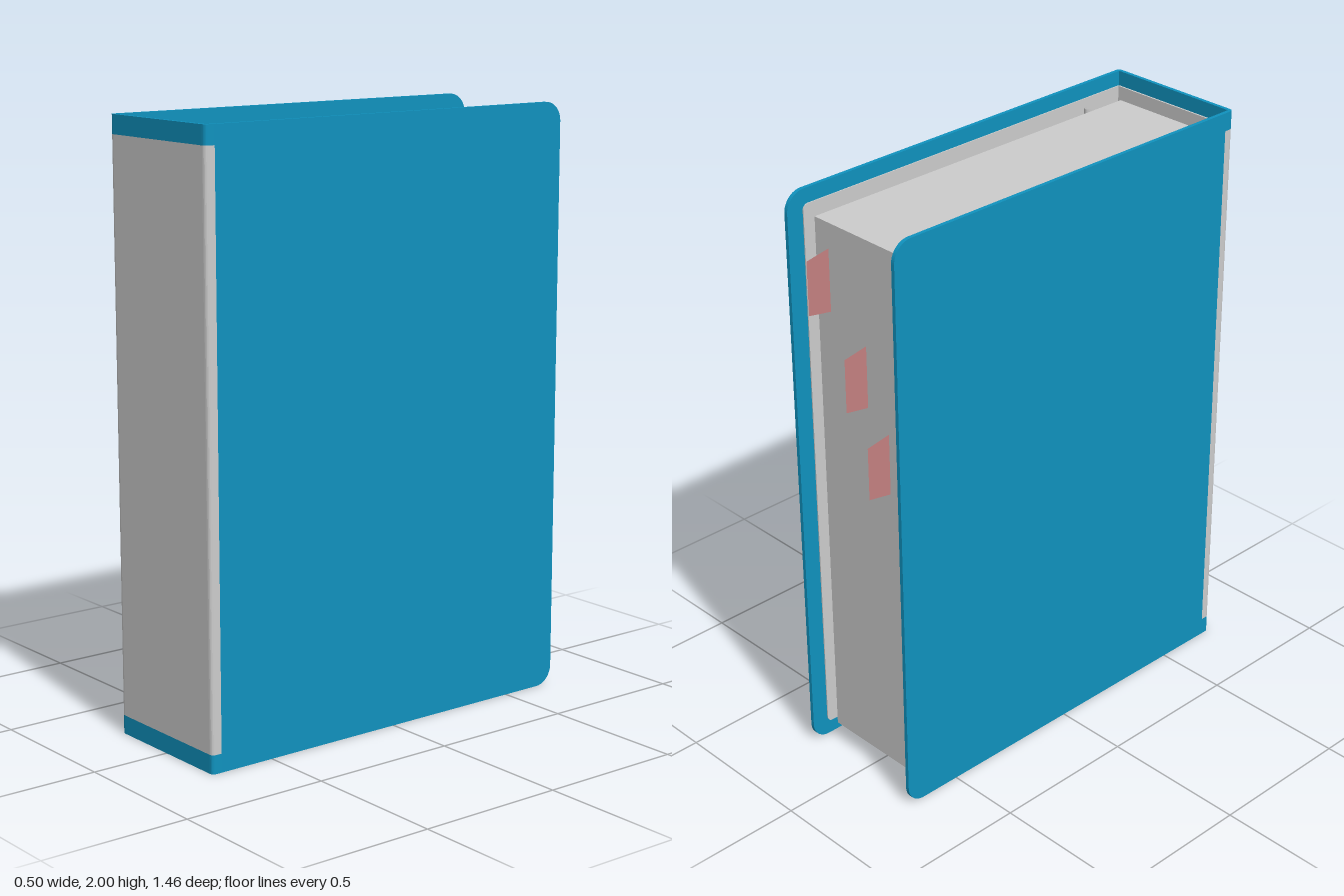
import * as THREE from 'three';

const mat = (name, color, side = THREE.FrontSide) => {
  const m = new THREE.MeshStandardMaterial({ color, side });
  m.name = name;
  return m;
};

export function createModel() {
  const blue = mat('blue cover', 0x1092be);
  const grey = mat('light grey', 0xcccccc);
  const sheet = mat('light grey sheet', 0xcccccc, THREE.DoubleSide);
  const pink = mat('pink tab', 0xc48080, THREE.DoubleSide);

  const model = new THREE.Group();
  model.name = 'binder';
  const add = (parent, name, geometry, material) => {
    const mesh = new THREE.Mesh(geometry, material);
    mesh.name = name;
    parent.add(mesh);
    return mesh;
  };
  const box = (x0, x1, y0, y1, z0, z1) =>
    new THREE.BoxGeometry(x1 - x0, y1 - y0, z1 - z0)
      .translate((x0 + x1) / 2, (y0 + y1) / 2, (z0 + z1) / 2);

  // Covers lean slightly inwards toward the open edge
  const lean = (geometry) => {
    const p = geometry.attributes.position;
    for (let i = 0; i < p.count; i++) p.setX(i, p.getX(i) - 0.005 * (0.695 - p.getZ(i)));
    geometry.computeVertexNormals();
    return geometry;
  };

  // Board in the side plane with rounded corners at the open edge
  const board = (z0, z1, y0, y1, r, x, thickness) => {
    const s = new THREE.Shape();
    s.moveTo(-z0, y0);
    s.lineTo(-z1 - r, y0);
    s.absarc(-z1 - r, y0 + r, r, -Math.PI / 2, 0);
    s.lineTo(-z1, y1 - r);
    s.absarc(-z1 - r, y1 - r, r, 0, Math.PI / 2);
    s.lineTo(-z0, y1);
    const g = new THREE.ExtrudeGeometry(s, { depth: thickness, bevelEnabled: false, curveSegments: 8 });
    return lean(g.rotateY(Math.PI / 2).translate(x, 0, 0));
  };

  // Spine: a shallow channel in three colour bands
  const channel = (y0, y1) => {
    const w = 0.251, d = 0.73, r = 0.016, t = 0.013, z0 = 0.695;
    const s = new THREE.Shape();
    s.moveTo(-w, -z0);
    s.lineTo(-w, -d + r);
    s.quadraticCurveTo(-w, -d, -w + r, -d);
    s.lineTo(w - r, -d);
    s.quadraticCurveTo(w, -d, w, -d + r);
    s.lineTo(w, -z0);
    s.lineTo(w - t, -z0);
    s.lineTo(w - t, -d + t);
    s.lineTo(-w + t, -d + t);
    s.lineTo(-w + t, -z0);
    return new THREE.ExtrudeGeometry(s, { depth: y1 - y0, bevelEnabled: false, curveSegments: 5 })
      .rotateX(-Math.PI / 2).translate(0, y0, 0);
  };
  add(model, 'spineBottomBand', channel(0, 0.062), blue);
  add(model, 'spinePanel', channel(0.062, 1.938), grey);
  add(model, 'spineTopBand', channel(1.938, 2), blue);
  add(model, 'spineLining', box(-0.235, 0.235, 0.05, 1.95, 0.711, 0.717), grey);
  add(model, 'bindingPlate', box(-0.11, 0.11, 0.1, 1.9, 0.703, 0.711), grey);

  // Curved holding strip between the page block and the cover
  const clipCurve = new THREE.CatmullRomCurve3([
    [0.18, 0.655], [0.187, 0.61], [0.2, 0.56], [0.217, 0.54], [0.23, 0.545], [0.234, 0.57],
  ].map(([x, z]) => new THREE.Vector3(x, 0, z)));
  const strip = (y0, y1) => {
    const n = 16, pos = [], index = [];
    clipCurve.getPoints(n).forEach((p) => pos.push(p.x, y0, p.z, p.x, y1, p.z));
    for (let i = 0; i < n; i++) {
      const a = i * 2;
      index.push(a, a + 1, a + 2, a + 2, a + 1, a + 3);
    }
    const g = new THREE.BufferGeometry();
    g.setAttribute('position', new THREE.Float32BufferAttribute(pos, 3));
    g.setIndex(index);
    g.computeVertexNormals();
    return g;
  };

  // Each side is the other one turned half a turn about the front axis
  ['left', 'right'].forEach((label, i) => {
    const side = new THREE.Group();
    side.name = label + 'Side';
    if (i) {
      side.rotation.z = Math.PI;
      side.position.y = 2;
    }
    add(side, 'cover', board(0.695, -0.707, 0, 2, 0.065, 0.238, 0.013), blue);
    add(side, 'coverLining', board(0.711, -0.648, 0.05, 1.95, 0.02, 0.234, 0.004), grey);
    add(side, 'holdingStrip', strip(0.08, 1.92), sheet);
    for (const y of [0.4, 1, 1.6]) {
      const rivet = new THREE.CylinderGeometry(0.02, 0.02, 0.025, 16).rotateZ(Math.PI / 2);
      add(side, 'rivet', rivet.translate(0.192, y, 0.61), grey);
    }
    model.add(side);
  });

  // Page block
  add(model, 'pageBlock', box(-0.18, 0.18, 0.072, 1.928, -0.645, 0.665), grey);

  // Index tabs stepping across the open edge
  [[0.122, 1.738], [-0.035, 1.47], [-0.127, 1.205]].forEach(([x, y]) => {
    const s = new THREE.Shape([
      new THREE.Vector2(0.645, -0.105), new THREE.Vector2(0.73, -0.09),
      new THREE.Vector2(0.73, 0.09), new THREE.Vector2(0.645, 0.105),
    ]);
    add(model, 'indexTab', new THREE.ShapeGeometry(s).rotateY(Math.PI / 2).translate(x, y, 0), pink);
  });

  return model;
}
